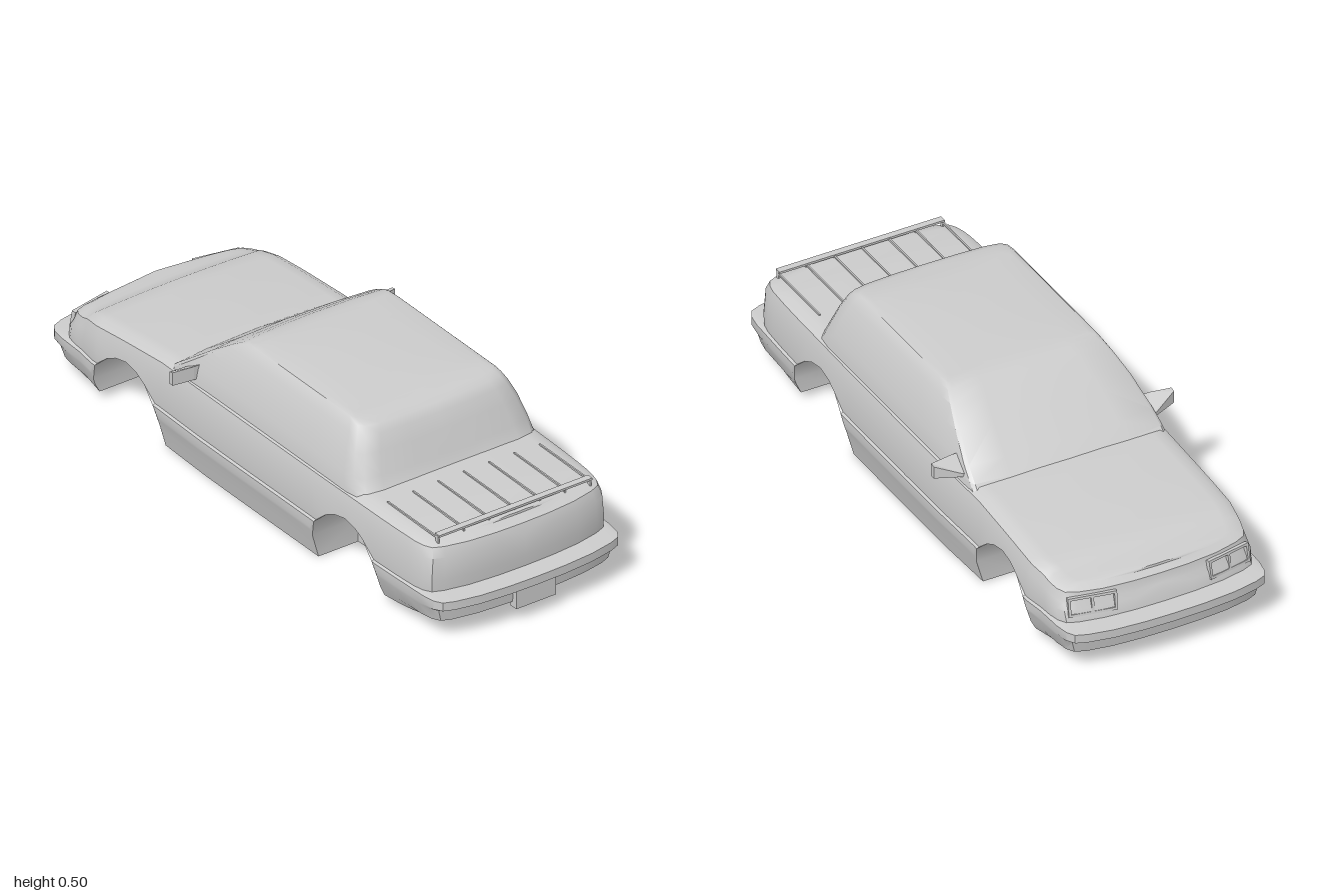
import * as THREE from 'three';
import { toCreasedNormals } from 'three/addons/utils/BufferGeometryUtils.js';

const material = new THREE.MeshStandardMaterial({ color: 0xcccccc, side: THREE.DoubleSide });

function addMesh(parent, name, geometry, x = 0, y = 0, z = 0) {
  const mesh = new THREE.Mesh(geometry, material);
  mesh.name = name;
  mesh.position.set(x, y, z);
  parent.add(mesh);
  return mesh;
}

// Piecewise linear lookup in [[key, value], ...] with rising keys
function lookup(table, k) {
  if (k <= table[0][0]) return table[0][1];
  for (let i = 1; i < table.length; i++) {
    const [a, va] = table[i - 1], [b, vb] = table[i];
    if (k <= b) return b === a ? vb : va + (vb - va) * (k - a) / (b - a);
  }
  return table[table.length - 1][1];
}

// Skins columns of [x, y, z] points on the +x half and mirrors them to the other half
function skin(columns, crease) {
  const pos = [];
  const tri = (a, b, c) => {
    const [A, B, C] = [a, b, c].map(p => new THREE.Vector3(...p));
    if (B.clone().sub(A).cross(C.clone().sub(A)).length() < 1e-9) return;
    pos.push(...a, ...b, ...c);
  };
  const flip = p => [-p[0], p[1], p[2]];
  for (let i = 0; i + 1 < columns.length; i++) {
    for (let j = 0; j + 1 < columns[i].length; j++) {
      const a = columns[i][j], b = columns[i + 1][j], c = columns[i + 1][j + 1], d = columns[i][j + 1];
      tri(a, b, c);
      tri(a, c, d);
      tri(flip(a), flip(c), flip(b));
      tri(flip(a), flip(d), flip(c));
    }
  }
  const geometry = new THREE.BufferGeometry();
  geometry.setAttribute('position', new THREE.Float32BufferAttribute(pos, 3));
  return toCreasedNormals(geometry, crease);
}

// Lower body: stations run around the plan from rear centre to front centre
const deckLine = [[-1, 0.24], [-0.9, 0.255], [-0.6, 0.287], [-0.37, 0.305], [0.5, 0.305], [0.85, 0.303], [1, 0.298]];
const sideLine = [[0, 0.351], [0.4, 0.35], [0.7, 0.345], [0.9, 0.337]];
const floorY = z => Math.max(0, (Math.abs(z) - 0.38) * 0.085);
const arch = [[0.67, 0], [0.67, 0.08], [0.65, 0.14], [0.6, 0.185], [0.56, 0.205], [0.51, 0.215],
  [0.46, 0.205], [0.42, 0.185], [0.37, 0.14], [0.35, 0.08], [0.35, 0]];
const nose = [[0, 1], [0.1, 0.998], [0.2, 0.99], [0.28, 0.974], [0.315, 0.96], [0.33, 0.935]];
const WELL = 0.175;

function bodyGeometry() {
  const side = z => [lookup(sideLine, Math.abs(z)), z, 0];
  const stations = [
    ...nose.map(([x, z]) => [x, z, 0]),
    ...[0.89, 0.82, 0.75].map(side),
    ...arch.map(([z, a]) => [side(z)[0], z, a]),
    ...[0.2, 0, -0.2].map(side),
    ...arch.map(([z, a]) => [side(z)[0], z - 1.08, a]),
    ...[-0.8, -0.85, -0.89].map(side),
    ...nose.map(([x, z]) => [x, -z, 0]).reverse(),
  ];
  const columns = stations.map(([sx, sz, a]) => {
    const deck = lookup(deckLine, sz), floor = floorY(sz);
    const ease = THREE.MathUtils.smoothstep(Math.abs(sz), 0.75, 0.94);
    // Levels: height, side inset, rear inset, front inset
    const levels = [
      [floor, 0.032, 0.07, 0.06],
      [Math.max(0.06, floor + 0.01), 0.016, 0.03, 0.03],
      [0.1, 0.004, 0.026, 0.024],
      [0.112, 0, 0, 0],
      [0.14, 0, 0, 0],
      [0.144, 0.008, 0.064, 0.064],
      [0.18, 0.006, 0.062, 0.074],
      [deck - 0.045, 0.012, 0.064, 0.085],
      [deck - 0.015, 0.02, 0.076, 0.092],
      [deck, 0.045, 0.105, 0.11],
    ].map(([y, ix, ir, iff]) => [
      sx * (1 - ix / 0.345), y, sz - Math.sign(sz) * ease * (sz > 0 ? ir : iff)]);
    // Trim the side skin at the wheel arch
    const xAt = levels.map(p => [p[1], p[0]]);
    const wall = levels.map(p => (p[1] < a ? [lookup(xAt, a), a, p[2]] : p));
    const [bx, by, bz] = levels[0], inner = Math.min(WELL, bx);
    const [tx, ty, tz] = levels[levels.length - 1];
    const top = [0.9, 0.65, 0.35, 0].map(k => [tx * k, ty + 0.008 * (1 - k * k), tz]);
    return [[0, by, bz], [inner, by, bz], [inner, Math.max(a, by), bz], ...wall, ...top];
  });
  return skin(columns, 0.6);
}

// Cabin: stacked outlines of height, half width, rear z, front z
function cabinGeometry() {
  const outline = [[0, 1], [0.4, 0.996], [0.75, 0.982], [0.92, 0.955], [0.985, 0.9], [1, 0.8], [1, 0.4],
    [1, 0], [1, -0.4], [1, -0.8], [0.99, -0.93], [0.96, -0.96], [0.6, -0.985], [0, -1]];
  const levels = [[0.28, 0.325, 0.6, -0.41], [0.31, 0.322, 0.577, -0.375], [0.345, 0.315, 0.56, -0.325],
    [0.41, 0.295, 0.532, -0.235], [0.455, 0.275, 0.51, -0.165], [0.478, 0.262, 0.492, -0.125],
    [0.488, 0.252, 0.465, -0.1], [0.491, 0.235, 0.42, -0.075]];
  const columns = outline.map(([u, w]) => {
    const wall = levels.map(([y, x, r, f]) => [u * x, y, (r + f) / 2 + w * (r - f) / 2]);
    const [tx, ty, tz] = wall[wall.length - 1];
    return [...wall, ...[0.75, 0.4, 0].map(k => [tx * k, ty + 0.008 * (1 - k * k) * (1 - w ** 4), tz])];
  });
  return skin(columns, 0.6);
}

function rect(path, x0, y0, x1, y1) {
  path.moveTo(x0, y0);
  path.lineTo(x1, y0);
  path.lineTo(x1, y1);
  path.lineTo(x0, y1);
  path.closePath();
  return path;
}

// Headlight bezel with two openings
function headlightGeometry() {
  const shape = rect(new THREE.Shape(), -0.075, -0.03, 0.075, 0.03);
  shape.holes.push(rect(new THREE.Path(), -0.067, -0.022, -0.004, 0.022));
  shape.holes.push(rect(new THREE.Path(), 0.004, -0.022, 0.067, 0.022));
  return new THREE.ExtrudeGeometry(shape, { depth: 0.014, bevelEnabled: false });
}

// Door mirror: plan outline raised to a wedge that thins toward the nose
function mirrorGeometry(s) {
  const plan = [[0.3, -0.31], [0.325, -0.305], [0.4, -0.272], [0.4, -0.257], [0.33, -0.247], [0.3, -0.247]];
  const shape = new THREE.Shape(plan.map(([x, z]) => new THREE.Vector2(s * x, -z)));
  const geometry = new THREE.ExtrudeGeometry(shape, { depth: 0.045, bevelEnabled: false });
  geometry.rotateX(-Math.PI / 2);
  const p = geometry.attributes.position;
  for (let i = 0; i < p.count; i++) {
    if (p.getY(i) > 0.02) p.setY(i, lookup([[-0.31, 0.008], [-0.27, 0.042], [-0.25, 0.045]], p.getZ(i)));
  }
  geometry.computeVertexNormals();
  return geometry;
}

export function createModel() {
  const car = new THREE.Group();
  car.name = 'car';
  addMesh(car, 'body', bodyGeometry());
  addMesh(car, 'cabin', cabinGeometry());
  addMesh(car, 'numberPlate', new THREE.BoxGeometry(0.142, 0.06, 0.03), 0, 0.075, 0.972);

  for (const s of [1, -1]) {
    const light = addMesh(car, s > 0 ? 'leftHeadlight' : 'rightHeadlight', headlightGeometry(), s * 0.225, 0.188, -0.897);
    light.rotation.set(-0.18, Math.PI - s * 0.2, 0, 'YXZ');
    addMesh(car, s > 0 ? 'leftMirror' : 'rightMirror', mirrorGeometry(s), 0, 0.311, 0);
  }

  // Luggage rack on the boot lid
  const rack = new THREE.Group();
  rack.name = 'luggageRack';
  for (let i = -3; i <= 3; i++) {
    const x = i * 0.091;
    const y = 0.313 - 0.006 * (x / 0.27) ** 2;
    addMesh(rack, 'slat', new THREE.BoxGeometry(0.005, 0.006, 0.25), x, y, 0.755);
    addMesh(rack, 'post', new THREE.BoxGeometry(0.005, 0.025, 0.012), x, 0.302, 0.876);
  }
  addMesh(rack, 'rail', new THREE.BoxGeometry(0.55, 0.007, 0.022), 0, 0.315, 0.876);
  car.add(rack);
  return car;
}
